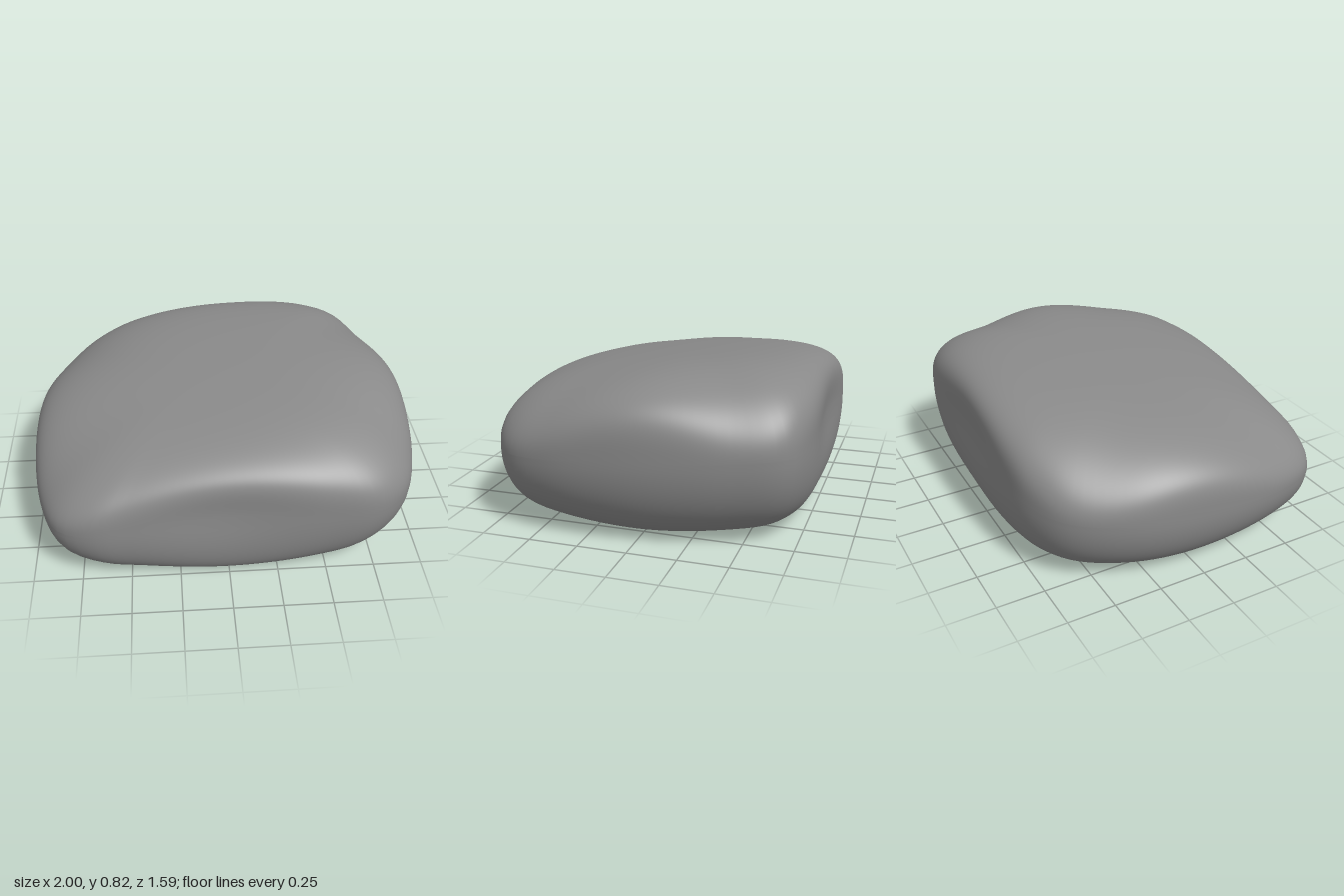
import * as THREE from 'three';

const SEG = 120, LOW = 24, HIGH = 48;

// Widest contour seen from above, [x, z], running from +x towards +z
const OUTLINE = [
  [1, 0.1], [0.98, 0.42], [0.905, 0.64], [0.755, 0.76], [0.5, 0.797], [0, 0.795],
  [-0.5, 0.797], [-0.7, 0.79], [-0.86, 0.715], [-0.955, 0.5], [-1, 0.1], [-0.955, -0.35],
  [-0.81, -0.64], [-0.63, -0.755], [-0.4, -0.8], [0.1, -0.81], [0.6, -0.8],
  [0.805, -0.715], [0.915, -0.47], [0.975, -0.2],
];
const BASE = { x: -0.03, z: 0.04, rx: 0.73, rz: 0.64 };

// Height of the widest contour and of the sloping crown
const rimHeight = (x, z) => 0.39 + 0.045 * x - 0.06 * z;
const crownHeight = (x, z) => 0.773 + 0.08 * x - 0.1 * z - 0.04 * x * x - 0.07 * z * z;

// Shallow hollows in the front and back faces
function hollow(p) {
  const side = Math.sign(p.z);
  const cx = side > 0 ? -0.1 : 0.1, cy = side > 0 ? 0.43 : 0.48;
  const mask = THREE.MathUtils.smoothstep(Math.abs(p.z), 0.35, 0.8);
  const fall = Math.exp(-(((p.x - cx) / 0.45) ** 2) - ((p.y - cy) / 0.2) ** 2);
  p.z -= side * 0.03 * mask * fall;
  return p;
}

function stoneGeometry() {
  const curve = new THREE.CatmullRomCurve3(
    OUTLINE.map(([x, z]) => new THREE.Vector3(x, 0, z)), true);
  const rim = curve.getSpacedPoints(SEG).slice(0, SEG);
  const pos = [], index = [];
  const add = (x, y, z) => {
    const p = hollow(new THREE.Vector3(x, y, z));
    pos.push(p.x, p.y, p.z);
  };

  // Underside: from the flat oval base out to the widest contour
  const start = 1.3, c0 = Math.cos(start), s0 = Math.sin(start);
  for (let i = 0; i < LOW; i++) {
    const phi = (1 - (i / LOW) ** 1.3) * start;
    for (const p of rim) {
      const a = Math.atan2(p.z / 0.79, p.x);
      const k = ((Math.cos(phi) - c0) / (1 - c0)) ** (0.85 - 0.3 * Math.sin(a) ** 2);
      const bx = BASE.x + BASE.rx * Math.cos(a), bz = BASE.z + BASE.rz * Math.sin(a);
      add(bx + (p.x - bx) * k, rimHeight(p.x, p.z) * (1 - Math.sin(phi) / s0), bz + (p.z - bz) * k);
    }
  }
  // Upper side: full over the faces, leaner over the corners
  for (let i = 0; i < HIGH; i++) {
    const r = Math.cos(Math.PI / 2 * (i / HIGH) ** 1.6);
    for (const p of rim) {
      const a = Math.atan2(p.z / 0.79, p.x);
      const n = 3.9 + 1.8 * Math.sin(a) ** 2 - 2.3 * r * Math.sin(2 * a) ** 2;
      const f = Math.max(0, 1 - r ** n) ** (1 / n);
      const x = p.x * r, z = p.z * r, y0 = rimHeight(p.x, p.z);
      add(x, y0 + (crownHeight(x, z) - y0) * f, z);
    }
  }
  add(0, crownHeight(0, 0), 0);

  const rows = LOW + HIGH, top = rows * SEG;
  for (let i = 0; i < rows; i++) {
    for (let j = 0; j < SEG; j++) {
      const a = i * SEG + j, b = i * SEG + (j + 1) % SEG;
      if (i === rows - 1) index.push(a, top, b);
      else index.push(a, a + SEG, b, b, a + SEG, b + SEG);
    }
  }
  const g = new THREE.BufferGeometry();
  g.setAttribute('position', new THREE.Float32BufferAttribute(pos, 3));
  g.setIndex(index);
  g.computeVertexNormals();
  return g;
}

export function createModel() {
  const group = new THREE.Group();
  group.name = 'stone';
  const material = new THREE.MeshStandardMaterial({ color: 0x898989 });

  const body = new THREE.Mesh(stoneGeometry(), material);
  body.name = 'stoneBody';

  // Flat oval the stone rests on
  const oval = new THREE.CircleGeometry(1, SEG).rotateX(Math.PI / 2).scale(BASE.rx, 1, BASE.rz);
  const base = new THREE.Mesh(oval, material);
  base.name = 'flatBase';
  base.position.set(BASE.x, 0, BASE.z);

  group.add(body, base);
  return group;
}
